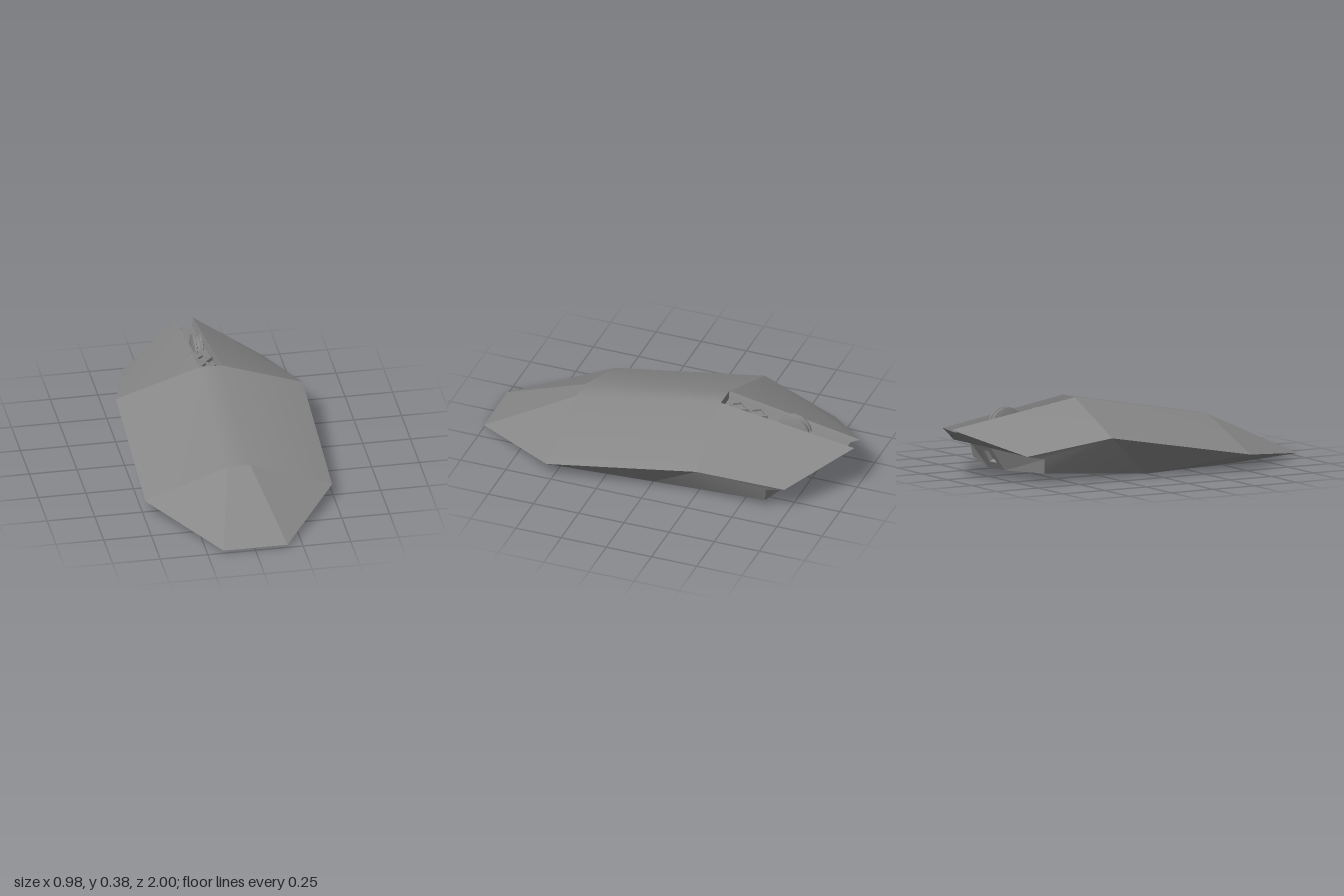
import * as THREE from 'three';
import { toCreasedNormals } from 'three/addons/utils/BufferGeometryUtils.js';

const material = new THREE.MeshStandardMaterial({ color: 0x888888, side: THREE.DoubleSide });
const mirror = ([x, y, z]) => [-x, y, z];
const both = (faces) => [...faces, ...faces.map((f) => f.map(mirror))];

// Panels from polygons; each one is turned to face away from the centre
function panels(name, faces, centre, crease = 0) {
  const pos = [];
  const mid = new THREE.Vector3(...centre);
  for (const face of faces) {
    const p = face.map((c) => new THREE.Vector3(...c));
    for (let i = 1; i < p.length - 1; i++) {
      const t = [p[0], p[i], p[i + 1]];
      const n = t[1].clone().sub(t[0]).cross(t[2].clone().sub(t[0]));
      if (n.dot(t[0].clone().sub(mid)) < 0) t.reverse();
      t.forEach((v) => pos.push(v.x, v.y, v.z));
    }
  }
  let geo = new THREE.BufferGeometry();
  geo.setAttribute('position', new THREE.Float32BufferAttribute(pos, 3));
  geo.computeVertexNormals();
  if (crease) geo = toCreasedNormals(geo, crease);
  return named(name, geo);
}

function named(name, geo) {
  const mesh = new THREE.Mesh(geo, material);
  mesh.name = name;
  return mesh;
}

export function createModel() {
  const model = new THREE.Group();
  model.name = 'computerMouse';
  const core = [0, 0.13, 0];

  // Corners of the left half, right half mirrored
  const peak = [0.06, 0.384, -0.27], shoulder = [0.49, 0.225, -0.3];
  const ridge = [0.06, 0.239, 0.53], hip = [0.49, 0.08, 0.53];
  const heel = [0.168, 0.015, 1], hipLow = [0.31, 0.013, 0.52], waistLow = [0.33, 0, 0];
  const cheekLow = [0.36, 0.05, -0.63], cheekTop = [0.378, 0.127, -0.64];
  const noseLow = [0.085, 0.037, -0.705], noseTop = [0.055, 0.155, -0.77];
  const wing = [0.37, 0.145, -0.74], tip = [0.043, 0.265, -1];
  const floorIn = [0.05, 0.34, -0.27], floorOut = [0.032, 0.243, -0.95];

  // Palm shell
  model.add(panels('palmShell', [
    [peak, mirror(peak), mirror(ridge), ridge],
    ...both([[peak, ridge, hip, shoulder]]),
  ], core, 0.5));
  model.add(panels('palmSlope', [
    [ridge, mirror(ridge), mirror(heel), heel],
    ...both([[ridge, heel, hip]]),
  ], core));

  // Lower body: sides, cheeks under the buttons, and base
  model.add(panels('lowerSides', both([
    [heel, hip, hipLow],
    [hip, shoulder, waistLow, hipLow],
  ]), core));
  model.add(panels('cheeks', both([
    [shoulder, wing, cheekTop, cheekLow, waistLow],
  ]), core, 0.6));
  model.add(panels('base', [
    [heel, hipLow, mirror(hipLow), mirror(heel)],
    [hipLow, waistLow, mirror(waistLow), mirror(hipLow)],
    [waistLow, cheekLow, noseLow, mirror(noseLow), mirror(cheekLow), mirror(waistLow)],
  ], core, 0.3));

  // Nose with a shallow cable socket
  const outer = [noseLow, mirror(noseLow), mirror(noseTop), noseTop];
  const rim = [[0.035, 0.072, -0.724], [-0.035, 0.072, -0.724], [-0.035, 0.132, -0.757], [0.035, 0.132, -0.757]];
  const back = rim.map(([x, y, z]) => [x, y + 0.01, z + 0.02]);
  const ring = (a, b) => a.map((p, i) => [p, a[(i + 1) % 4], b[(i + 1) % 4], b[i]]);
  model.add(panels('nose', [
    ...ring(outer, rim),
    ...both([[cheekTop, noseTop, noseLow, cheekLow]]),
  ], core));
  model.add(panels('cableSocket', [...ring(rim, back), back], core));

  // Two overhanging buttons, with channel wall and underside
  for (const [name, flip] of [['leftButton', (p) => p], ['rightButton', mirror]]) {
    model.add(panels(name, [
      [peak, shoulder, tip],
      [shoulder, wing, tip],
      [peak, tip, floorOut, floorIn],
      [wing, tip, floorOut, noseTop, cheekTop],
    ].map((f) => f.map(flip)), flip([0.22, 0.24, -0.6]), 0.5));
  }

  // Central channel floor, end wall and underside
  model.add(panels('channel', [
    [floorIn, floorOut, mirror(floorOut), mirror(floorIn)],
    [peak, mirror(peak), mirror(floorIn), floorIn],
    [floorOut, mirror(floorOut), mirror(noseTop), noseTop],
  ], [0, 0.22, -0.6]));

  // Scroll wheel with a groove round the middle
  const profile = [[0, -0.028], [0.068, -0.028], [0.0925, -0.022], [0.0925, -0.011], [0.084, -0.008],
    [0.084, 0.008], [0.0925, 0.011], [0.0925, 0.022], [0.068, 0.028], [0, 0.028]];
  const wheelGeo = new THREE.LatheGeometry(profile.map(([r, h]) => new THREE.Vector2(r, h)), 16);
  const wheel = named('scrollWheel', toCreasedNormals(wheelGeo, 0.5));
  wheel.rotation.z = Math.PI / 2;
  wheel.position.set(0, 0.263, -0.65);
  model.add(wheel);

  // Diamond keys behind the wheel, lying on the sloped floor
  const slope = Math.atan2(floorIn[1] - floorOut[1], floorIn[2] - floorOut[2]);
  const diamond = (r) => [[r, 0], [0, r * 1.2], [-r, 0], [0, -r * 1.2]].map(([x, y]) => new THREE.Vector2(x, y));
  for (const z of [-0.453, -0.345]) {
    const key = new THREE.Group();
    key.name = 'diamondKey';
    const frame = new THREE.Shape(diamond(0.045));
    frame.holes.push(new THREE.Path(diamond(0.033)));
    key.add(named('keyFrame', new THREE.ExtrudeGeometry(frame, { depth: 0.018, bevelEnabled: false })));
    key.add(named('keyCap', new THREE.ExtrudeGeometry(new THREE.Shape(diamond(0.033)), { depth: 0.006, bevelEnabled: false })));
    key.rotation.x = -Math.PI / 2 - slope;
    key.position.set(0, floorIn[1] + (z - floorIn[2]) * Math.tan(slope), z);
    model.add(key);
  }
  return model;
}
